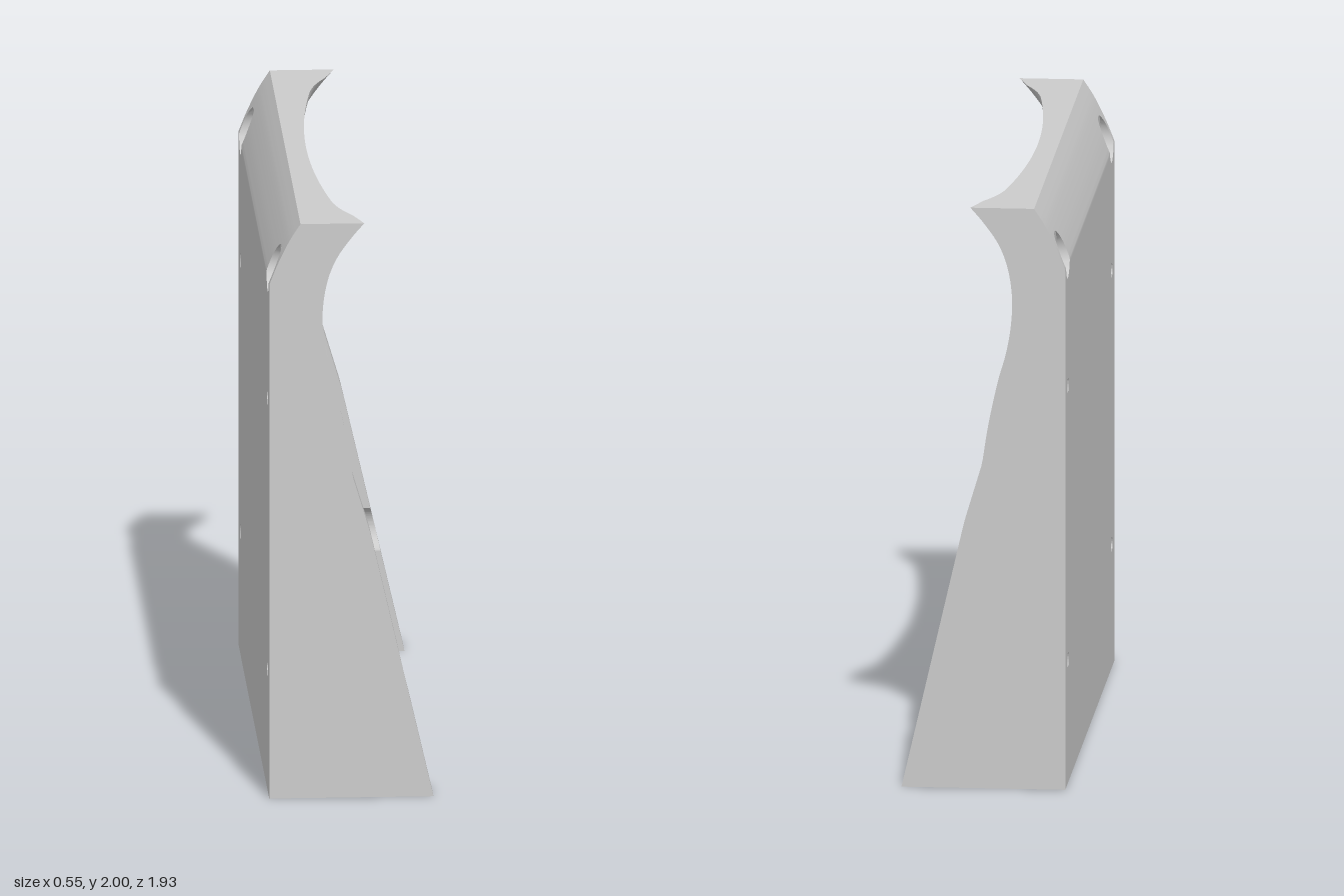
import * as THREE from 'three';
import { toCreasedNormals } from 'three/addons/utils/BufferGeometryUtils.js';

const W = 0.965, WALL = 0.86, SQ = 0.105, HOLE = 0.025;
const BACK = -0.28, SEAT_X = -0.19, SEAT_R = 0.075, REAR_X = -0.235, REAR_R = 0.08;
const SCREWS = [0.425, 1.37], TOP_SCREW = 1.82, BOW = 0.105, FLARE = 0.035;
const DISCS = [{ x: 0.07, y: 0.15, r: 0.105 }, { x: -0.01, y: 0.8, r: 0.055 }];
const { lerp, smoothstep } = THREE.MathUtils;

// Piecewise profile x(y) through [y, x] points
function profile(pts) {
  return (y) => {
    let i = 1;
    while (i < pts.length - 1 && y > pts[i][0]) i++;
    const [y0, x0] = pts[i - 1], [y1, x1] = pts[i];
    return lerp(x0, x1, THREE.MathUtils.clamp((y - y0) / (y1 - y0), 0, 1));
  };
}
const smooth = (pts, n) => new THREE.SplineCurve(pts.map(p => new THREE.Vector2(...p)))
  .getPoints(n).map(p => [p.x, p.y]);

const sideX = profile([[0, 0.272], [0.92, 0.06], ...smooth([[1.12, 0], [1.25, -0.02], [1.4, -0.052],
  [1.5, -0.08], [1.6, -0.097], [1.7, -0.1], [1.8, -0.084], [1.88, -0.052], [1.95, -0.003], [2, 0.04]], 54)]);
const backX = profile([[0, BACK], ...smooth([[1.79, BACK], [1.86, -0.252], [1.94, -0.213], [2, -0.175]], 18)]);
// Centre line of the hollow, ending in a narrow upright rim
const midX = profile([[0, -0.138], ...smooth([[1.39, -0.185], [1.5, -0.211], [1.62, -0.229], [1.72, -0.23],
  [1.8, -0.214], [1.88, -0.18], [1.94, -0.137], [1.975, -0.108]], 42), [2, -0.105]]);

// 0 where the rails stand proud, 1 in the hooked upper part
const upper = y => smoothstep(y, 1.34, 1.44);
// Front face of the side rails, flaring outwards at the top
const landX = (z, y) => sideX(y) - FLARE * upper(y) * (W - z) / (W - WALL);

// Floor between the rails, with fillets, disc cut-outs and the cable notch
function floorX(z, y) {
  const edge = midX(y) + BOW * WALL * WALL;
  const s = Math.max(0, (z - 0.76) / 0.1), q = Math.max(0, (z - 0.68) / 0.18);
  const low = Math.min(0.1, 0.8 * (sideX(y) - edge)) * (1 - Math.sqrt(Math.max(0, 1 - s * s)));
  const high = (sideX(y) - FLARE - edge) * q * q;
  let x = midX(y) + BOW * z * z + lerp(low, high, upper(y));
  for (const d of DISCS) {
    const h = d.r * d.r - (y - d.y) ** 2;
    if (h > 0) x = Math.min(x, d.x - Math.sqrt(h));
  }
  return x - 0.1 * Math.max(0, 1 - y / 0.3 - (z / 0.17) ** 2);
}
// Gathers the floor columns along the edge of the cable notch
function notchZ(z, y) {
  const end = WALL - SQ, t = z / end, w = 0.17 * Math.sqrt(Math.max(0, 1 - y / 0.3));
  return t < 1 / 3 ? 3 * t * w : lerp(w, end, 1.5 * t - 0.5);
}

const steps = (a, b, n) => Array.from({ length: n + 1 }, (_, i) => a + (b - a) * i / n);

export function createModel() {
  const group = new THREE.Group();
  let pos = [];

  // Surface patch, emitted together with its mirror image in z
  function patch(us, vs, f, flip = false) {
    const tri = (a, b, c) => {
      const e = new THREE.Vector3().subVectors(b, a), g = new THREE.Vector3().subVectors(c, a);
      if (e.cross(g).length() < 1e-10) return;
      const t = flip ? [a, c, b] : [a, b, c];
      for (const p of t) pos.push(p.x, p.y, p.z);
      for (const p of t.reverse()) pos.push(p.x, p.y, -p.z);
    };
    const g = us.map(u => vs.map(v => new THREE.Vector3(...f(u, v))));
    for (let i = 0; i + 1 < us.length; i++) for (let j = 0; j + 1 < vs.length; j++) {
      tri(g[i][j], g[i + 1][j], g[i + 1][j + 1]);
      tri(g[i][j], g[i + 1][j + 1], g[i][j + 1]);
    }
  }
  function finish(name) {
    const geo = new THREE.BufferGeometry();
    geo.setAttribute('position', new THREE.Float32BufferAttribute(pos, 3));
    const mesh = new THREE.Mesh(toCreasedNormals(geo, 0.5),
      new THREE.MeshStandardMaterial({ color: 0xcccccc, side: THREE.DoubleSide }));
    mesh.name = name;
    group.add(mesh);
    pos = [];
  }

  const right = steps(-Math.PI / 2, Math.PI / 2, 48), left = steps(Math.PI / 2, Math.PI * 1.5, 48);
  const round = steps(0, Math.PI * 2, 48);
  const at = (yc, r, a) => [WALL + r * Math.cos(a), yc + r * Math.sin(a)];
  // Square plate around a round hole
  const plate = (angles, yc, r, fx, flip) => patch(angles, steps(0, 1, 8), (a, t) => {
    const [z, y] = at(yc, lerp(r, SQ / Math.max(Math.abs(Math.cos(a)), Math.abs(Math.sin(a))), t), a);
    return [fx(z, y), y, z];
  }, flip);
  const ring = (yc, r0, r1, x, flip) => patch(round, [r0, r1], (a, r) => {
    const [z, y] = at(yc, r, a);
    return [x, y, z];
  }, flip);
  // Inward-facing bore between two x surfaces
  const bore = (angles, yc, r, lo, hi) => patch(angles, [0, 1], (a, t) => {
    const [z, y] = at(yc, r, a);
    return [t ? hi(z, y) : lo(z, y), y, z];
  });

  // Grid lines that meet the plates' edges point for point
  const spread = steps(-Math.PI / 4, Math.PI / 4, 24).map(a => SQ * Math.tan(a));
  const zIn = steps(0, WALL - SQ, 30);
  const zEdge = spread.slice(0, 13).map(d => WALL + d), zLand = spread.slice(12).map(d => WALL + d);
  const holes = [...SCREWS, TOP_SCREW];
  const plain = [[0, 0.045, 6], [0.045, 0.255, 28], [0.255, 0.3, 10], [0.3, 0.32, 2], [0.53, 0.745, 8],
    [0.745, 0.855, 20], [0.855, 1.265, 16], [1.475, 1.715, 14], [1.925, 1.975, 6], [1.975, 2, 2]].map(b => steps(...b));
  const holed = holes.map(y => spread.map(d => y + d));
  const P = fx => (y, z) => [fx(z, y), y, z];

  // Front: floor, fillets and rails
  for (const ys of plain) {
    patch(ys, zIn, (y, z) => {
      const zz = ys[0] < 0.29 ? notchZ(z, y) : z;
      return [floorX(zz, y), y, zz];
    });
    patch(ys, zEdge, P(floorX));
    patch(ys, zLand, P(landX));
  }
  for (const ys of holed) patch(ys, zIn, P(floorX));
  for (const y of holes) {
    const r = y === TOP_SCREW ? HOLE : SEAT_R;
    plate(right, y, r, landX);
    plate(left, y, r, floorX);
  }
  // Inner walls of the rails, open at the screw seats and discs
  const wallEnds = [[0, SCREWS[0] - SEAT_R], [SCREWS[0] + SEAT_R, SCREWS[1] - SEAT_R]];
  for (const [a, b] of wallEnds) {
    const d = DISCS.find(e => e.y > a && e.y < b);
    const inDisc = steps(-Math.PI / 2, Math.PI / 2, 28).map(t => d.y + d.r * Math.sin(t));
    for (const ys of [steps(a, d.y - d.r, 12), steps(d.y + d.r, b, 20)])
      patch(ys, [0, 1], (y, t) => [t ? landX(WALL, y) : floorX(WALL, y), y, WALL]);
    const half = y => Math.sqrt(Math.max(0, d.r * d.r - (y - d.y) ** 2));
    patch(inDisc, [0, 1], (y, t) => {
      const x = floorX(WALL, y);
      return [t ? Math.max(x, d.x - half(y)) : x, y, WALL];
    });
    patch(inDisc, [0, 1], (y, t) => [t ? landX(WALL, y) : d.x + half(y), y, WALL]);
  }
  // Back, sides, top and bottom
  const rear = (z, y) => backX(y);
  for (const ys of plain) patch(ys, [0, WALL, W], P(rear), true);
  for (const ys of holed) patch(ys, [0, WALL - SQ], P(rear), true);
  for (const y of holes) plate([...right, ...left.slice(1)], y, y === TOP_SCREW ? REAR_R : HOLE, rear, true);
  for (const ys of [...plain, ...holed]) patch([0, 1], ys, (t, y) => [t ? landX(W, y) : backX(y), y, W]);
  for (const y of [0, 2]) {
    const cols = y ? zIn : zIn.map(z => notchZ(z, 0));
    patch([...cols, ...zEdge.slice(1)], [0, 1], (z, t) => [t ? floorX(z, y) : backX(y), y, z], y === 0);
    patch(zLand, [0, 1], (z, t) => [t ? landX(z, y) : backX(y), y, z], y === 0);
  }
  finish('panelBody');

  // Screw seats sunk into the rails, with through holes
  for (const y of SCREWS) {
    bore(right, y, SEAT_R, () => SEAT_X, landX);
    bore(left, y, SEAT_R, () => SEAT_X, floorX);
    ring(y, HOLE, SEAT_R, SEAT_X);
    bore(round, y, HOLE, rear, () => SEAT_X);
  }
  finish('screwSeats');

  // Upper screw holes, sunk from behind
  bore(round, TOP_SCREW, HOLE, () => REAR_X, floorX);
  ring(TOP_SCREW, HOLE, REAR_R, REAR_X, true);
  bore(round, TOP_SCREW, REAR_R, (z, y) => Math.min(backX(y), REAR_X), () => REAR_X);
  finish('upperScrewHoles');

  // Shallow round pockets in the rail walls
  for (const d of DISCS) {
    const p = (a, r, z) => [d.x + r * Math.cos(a), d.y + r * Math.sin(a), z];
    patch(round, [0, d.r], (a, r) => p(a, r, WALL + 0.03));
    patch(round, [WALL, WALL + 0.03], (a, z) => p(a, d.r, z), true);
  }
  finish('wallPockets');
  return group;
}
